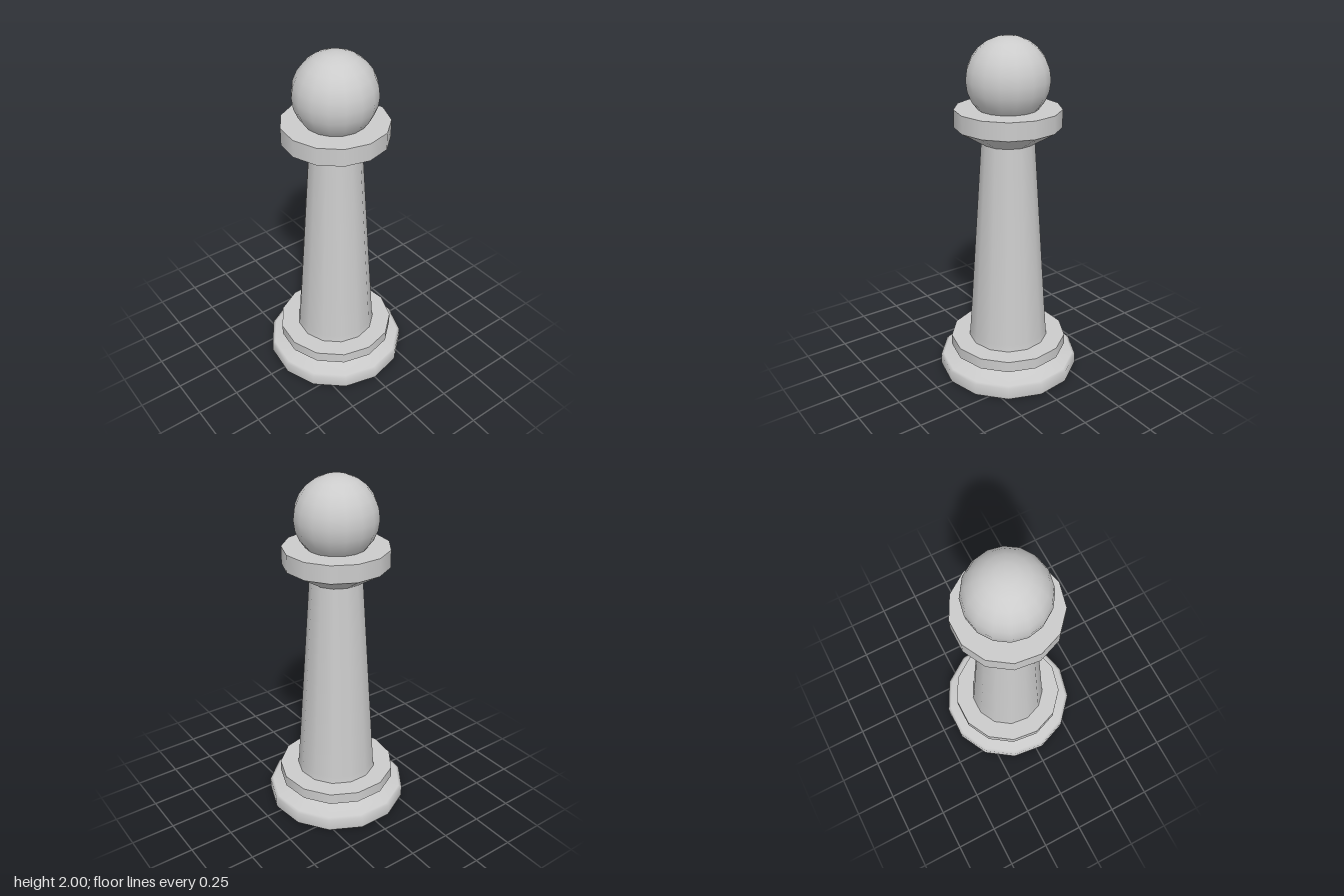
import * as THREE from 'three';

const SIDES = 13;

export function createModel() {
  const group = new THREE.Group();
  const material = new THREE.MeshStandardMaterial({ color: 0xcccccc });

  // Each band is a bottom-to-top [radius, y] run, smooth inside, sharp where bands meet.
  function turned(name, bands) {
    const part = new THREE.Group();
    part.name = name;
    bands.forEach((band, i) => {
      const points = band.map(([r, y]) => new THREE.Vector2(r, y));
      const mesh = new THREE.Mesh(new THREE.LatheGeometry(points, SIDES, Math.PI / 2), material);
      mesh.name = `${name}Surface${i + 1}`;
      part.add(mesh);
    });
    group.add(part);
  }

  // Wide foot with a soft lip and a stepped shoulder
  turned('base', [
    [[0, 0], [0.409, 0]],
    [[0.409, 0], [0.413, 0.012], [0.413, 0.072], [0.395, 0.079], [0.295, 0.095], [0.282, 0.11], [0.262, 0.142]],
  ]);

  // Flat ring above the foot
  turned('lowerCollar', [
    [[0.25, 0.14], [0.344, 0.14]],
    [[0.344, 0.14], [0.344, 0.205]],
    [[0.344, 0.205], [0.2, 0.205]],
  ]);

  // Tapering column with a slight flare at its foot
  turned('shaft', [[[0.235, 0.205], [0.23, 0.245], [0.15, 1.42]]]);

  // Flared neck and flat rim under the ball
  turned('upperCollar', [
    [[0.13, 1.42], [0.15, 1.42]],
    [[0.15, 1.42], [0.298, 1.51]],
    [[0.298, 1.51], [0.298, 1.61]],
    [[0.298, 1.61], [0, 1.61]],
  ]);

  // Ball on top
  const head = new THREE.Mesh(new THREE.SphereGeometry(0.232, 16, 12), material);
  head.name = 'head';
  head.position.y = 1.768;
  group.add(head);

  // Odd-sided rings reach further on +x, so shift to centre the outline
  group.children.forEach((part) => { part.position.x = -0.01; });
  return group;
}
